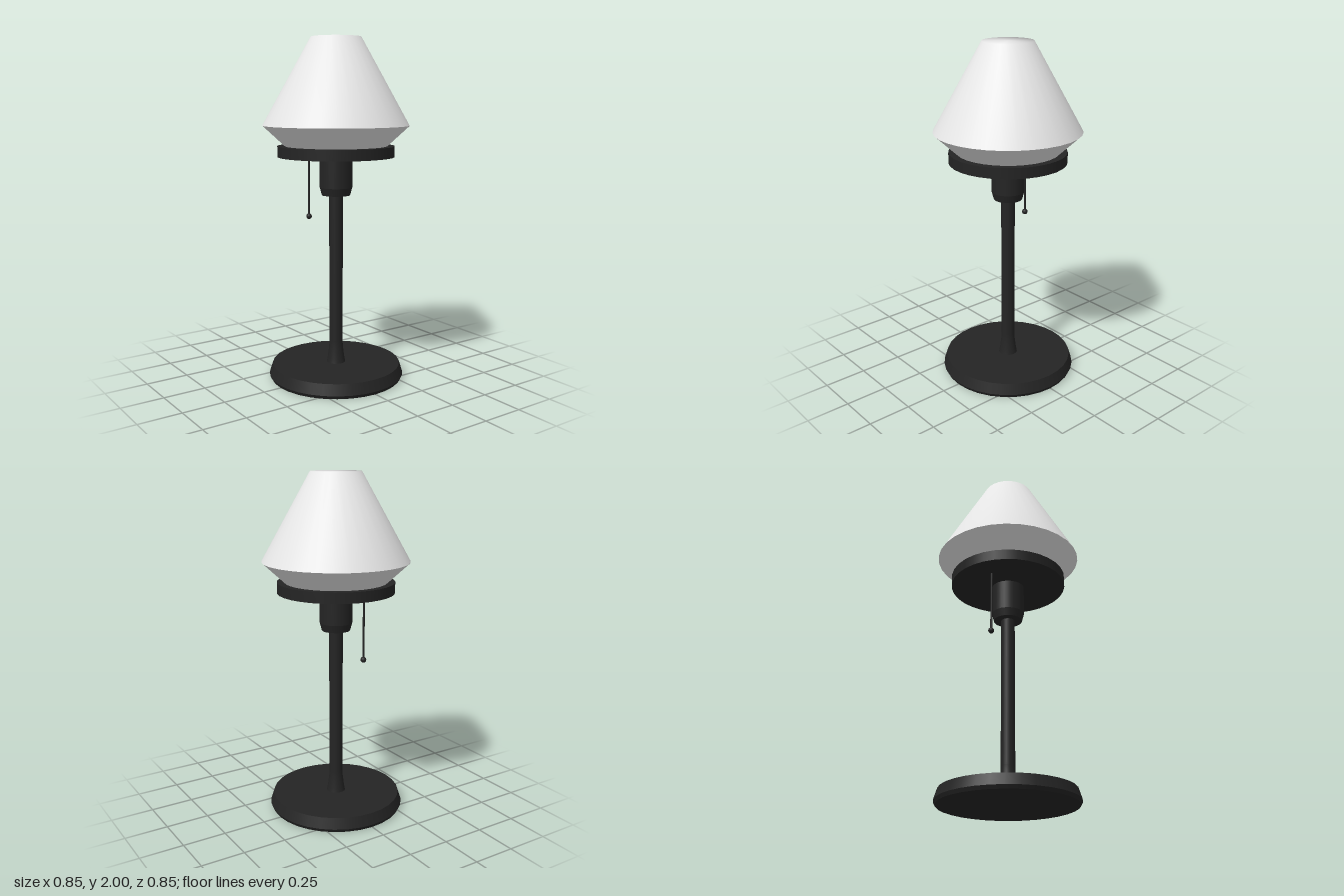
import * as THREE from 'three';

const SIDES = 32;

export function createModel() {
  const lamp = new THREE.Group();
  lamp.name = 'tableLamp';

  const black = new THREE.MeshStandardMaterial({ color: 0x242424 });
  black.name = 'black metal';
  const white = new THREE.MeshStandardMaterial({ color: 0xe6e6e6 });
  white.name = 'white glass';

  const add = (name, geometry, material, parent = lamp) => {
    const mesh = new THREE.Mesh(geometry, material);
    mesh.name = name;
    parent.add(mesh);
    return mesh;
  };

  // Smooth turned surface from [radius, height] points, bottom to top
  const turn = (points, sides = SIDES) =>
    new THREE.LatheGeometry(points.map(([r, y]) => new THREE.Vector2(r, y)), sides);

  // Turned part with a hard edge between each pair of profile points
  const turnSharp = (name, points, material, sides) => {
    const part = new THREE.Group();
    part.name = name;
    for (let i = 0; i < points.length - 1; i++) {
      add(name + 'Band' + (i + 1), turn([points[i], points[i + 1]], sides), material, part);
    }
    lamp.add(part);
  };

  // Round foot with sloping sides
  turnSharp('base', [[0, 0], [0.39, 0], [0.4, 0.02], [0.38, 0.083], [0, 0.083]], black);

  // Stem flaring out where it meets the foot
  add('stem', turn([[0.056, 0.08], [0.05, 0.11], [0.041, 0.18], [0.04, 0.22], [0.04, 1.1]]), black);

  // Bulb socket with a tapered lower end
  turnSharp('socket', [[0, 1.095], [0.083, 1.095], [0.095, 1.14], [0.095, 1.33]], black);

  // Tray holding the shade
  turnSharp('tray', [[0, 1.315], [0.34, 1.32], [0.34, 1.382], [0, 1.382]], black);

  // Glass shade: sharp waist, softly shaded top
  const shade = new THREE.Group();
  shade.name = 'shade';
  add('shadeLower', turn([[0.29, 1.375], [0.425, 1.5]]), white, shade);
  add('shadeUpper', turn([[0.425, 1.5], [0.145, 2], [0, 2]]), white, shade);
  lamp.add(shade);

  // Pull cord with a small ball
  const cord = add('pullCord', new THREE.CylinderGeometry(0.006, 0.006, 0.38, 8), black);
  cord.position.set(-0.19, 1.14, 0.065);
  const ball = add('pullBall', new THREE.SphereGeometry(0.017, 16, 10), black);
  ball.position.set(-0.19, 0.95, 0.065);

  return lamp;
}
